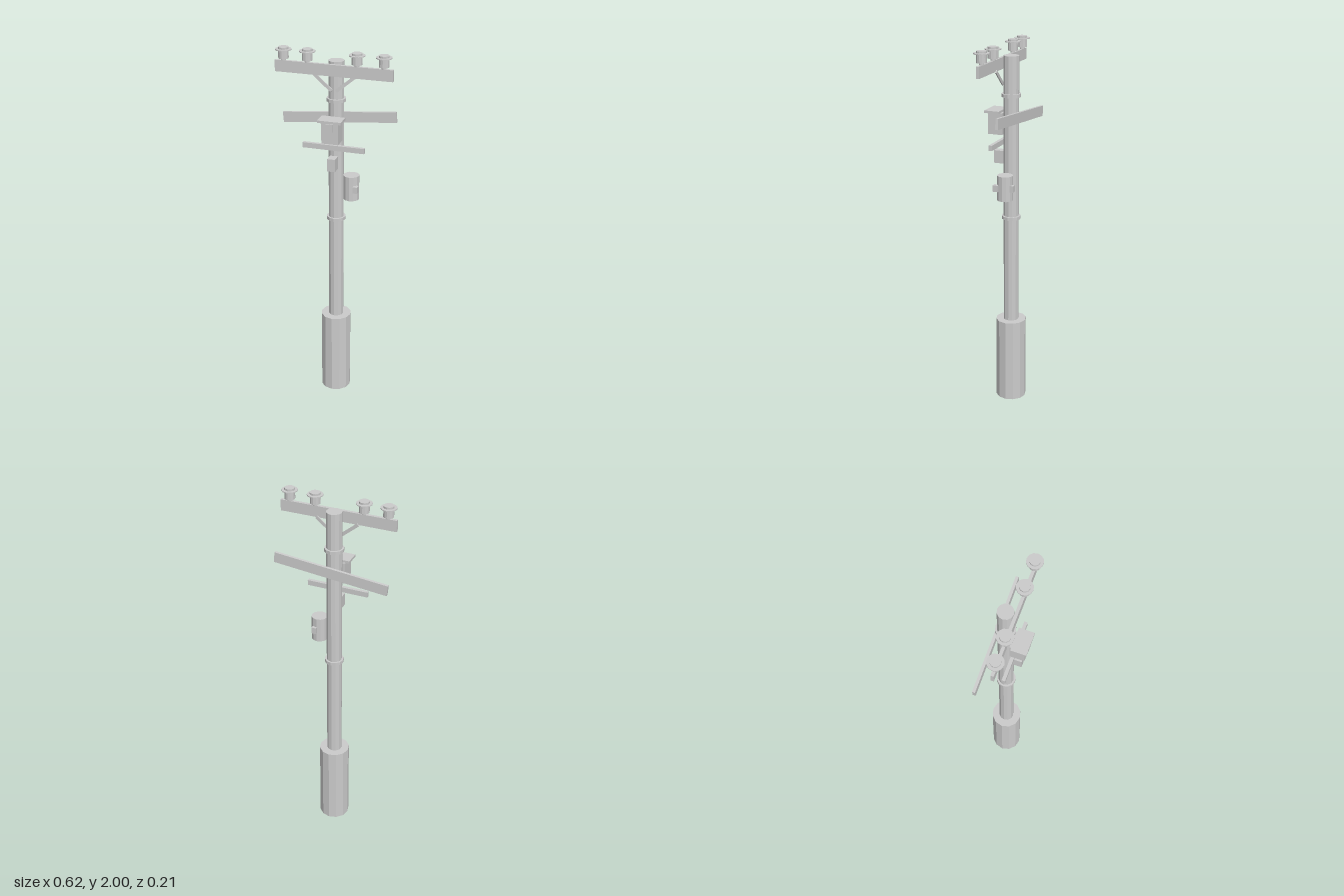
import * as THREE from 'three';

const material = new THREE.MeshStandardMaterial({ color: 0xcccccc, flatShading: true });
const POLE_Z = -0.023;

export function createModel() {
  const group = new THREE.Group();

  const add = (name, geometry, x, y, z, parent = group) => {
    const mesh = new THREE.Mesh(geometry, material);
    mesh.name = name;
    mesh.position.set(x, y, z);
    parent.add(mesh);
    return mesh;
  };
  // Box given by its extents
  const box = (name, x0, x1, y0, y1, z0, z1) =>
    add(name, new THREE.BoxGeometry(x1 - x0, y1 - y0, z1 - z0),
      (x0 + x1) / 2, (y0 + y1) / 2, (z0 + z1) / 2);
  // Upright twelve-sided cylinder given by its bottom and top heights
  const post = (name, r, y0, y1, x, z, parent = group, rTop = r) =>
    add(name, new THREE.CylinderGeometry(rTop, r, y1 - y0, 12), x, (y0 + y1) / 2, z, parent);

  // Pole, footing and collars
  post('footing', 0.083, 0, 0.472, 0, POLE_Z);
  post('pole', 0.041, 0.472, 1.94, 0, POLE_Z);
  for (const y of [1.07, 1.735]) post('collar', 0.051, y - 0.009, y + 0.009, 0, POLE_Z);

  // Upper crossarm with insulators
  box('upperCrossarm', -0.311, 0.311, 1.87, 1.93, 0.018, 0.034);
  for (const x of [-0.265, -0.138, 0.123, 0.262]) {
    const insulator = new THREE.Group();
    insulator.name = 'insulator';
    insulator.position.set(x, 0, 0.026);
    group.add(insulator);
    post('insulatorPin', 0.012, 1.93, 1.942, 0, 0, insulator);
    post('insulatorBody', 0.027, 1.941, 2.0, 0, 0, insulator);
    post('insulatorSkirt', 0.042, 1.985, 1.99, 0, 0, insulator);
  }

  // Diagonal braces beneath the crossarm
  for (const side of [-1, 1]) {
    const low = new THREE.Vector3(side * 0.012, 1.79, 0.019);
    const high = new THREE.Vector3(side * 0.112, 1.873, 0.014);
    const brace = add('brace', new THREE.BoxGeometry(0.017, low.distanceTo(high), 0.006), 0, 0, 0);
    brace.position.copy(low).lerp(high, 0.5);
    brace.quaternion.setFromUnitVectors(new THREE.Vector3(0, 1, 0), high.sub(low).normalize());
  }

  // Tilted crossarm behind the pole
  const tilted = box('tiltedCrossarm', -0.31, 0.31, 1.594, 1.65, -0.081, -0.066);
  tilted.rotation.z = 0.098;

  // Equipment cabinet with roof and front hatch
  box('cabinet', -0.045, 0.045, 1.528, 1.643, 0.012, 0.09);
  box('cabinetRoof', -0.063, 0.063, 1.642, 1.655, 0.022, 0.104);
  box('cabinetHatch', -0.019, 0.019, 1.597, 1.638, 0.088, 0.1);

  // Short rail and junction box
  box('shortRail', -0.167, 0.167, 1.472, 1.5, 0.015, 0.033);
  box('junctionBox', -0.021, 0.021, 1.367, 1.436, 0.012, 0.068);

  // Drum transformer with two terminals
  post('transformer', 0.043, 1.19, 1.325, 0.084, POLE_Z);
  box('frontTerminal', 0.106, 0.131, 1.242, 1.277, 0.0, 0.029);
  box('rearTerminal', 0.082, 0.107, 1.242, 1.277, -0.078, -0.055);

  return group;
}
